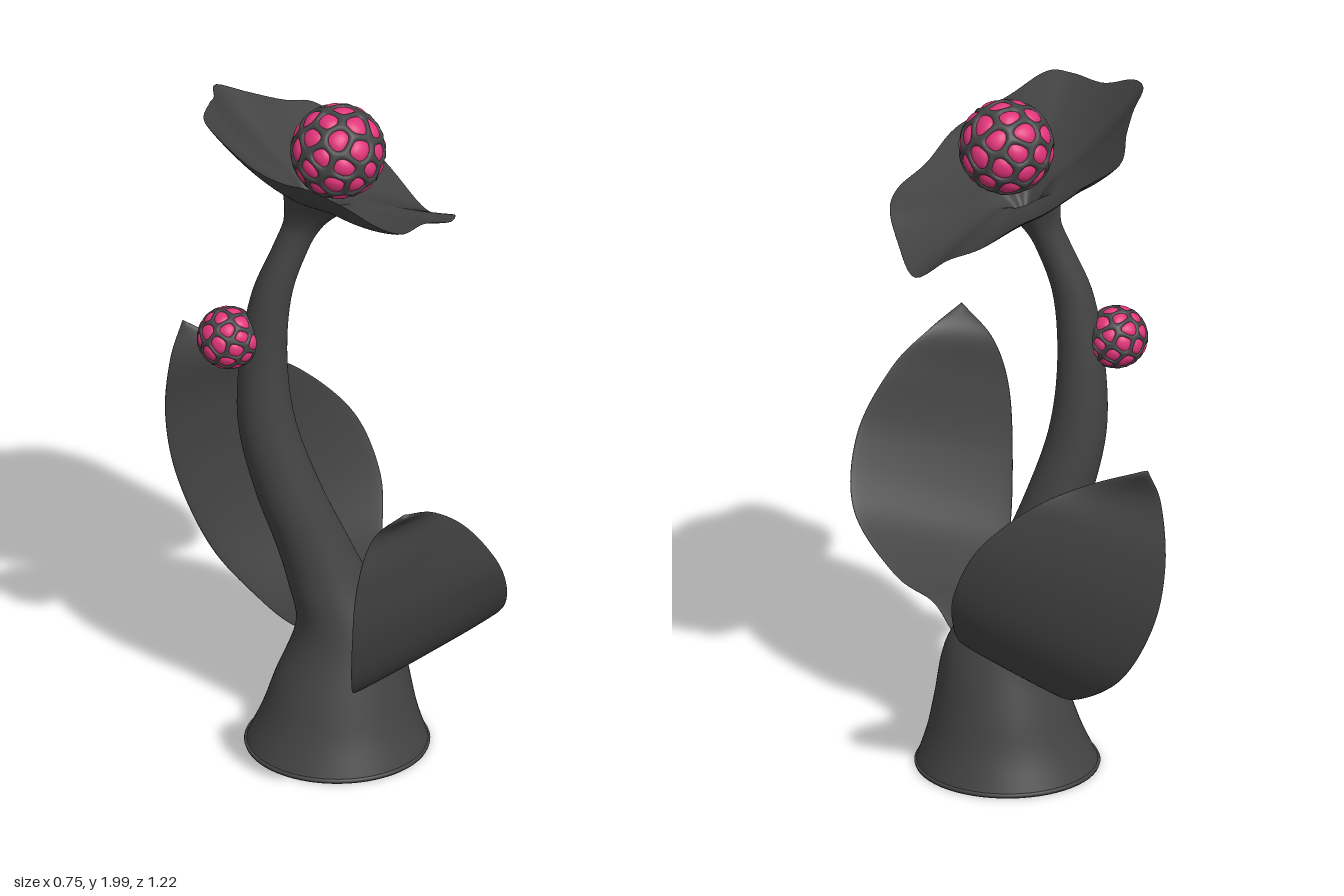
import * as THREE from 'three';
import { mergeVertices } from 'three/addons/utils/BufferGeometryUtils.js';

const dark = new THREE.MeshStandardMaterial({ color: 0x444444, side: THREE.DoubleSide });
const pink = new THREE.MeshStandardMaterial({ color: 0xe0357a });

const spline = (pts, closed = false, type = 'catmullrom') =>
  new THREE.CatmullRomCurve3(pts.map((p) => new THREE.Vector3(...p)), closed, type);

function named(name, geometry, material = dark) {
  const mesh = new THREE.Mesh(geometry, material);
  mesh.name = name;
  return mesh;
}

// Smooth grid surface, closed in u, from a rule (u, v) -> Vector3
function surface(nu, nv, rule) {
  const pos = [], index = [];
  for (let j = 0; j <= nv; j++)
    for (let i = 0; i <= nu; i++) pos.push(...rule((i % nu) / nu, j / nv).toArray());
  for (let j = 0; j < nv; j++)
    for (let i = 0; i < nu; i++) {
      const a = j * (nu + 1) + i, d = a + nu + 1;
      index.push(a, a + 1, d + 1, a, d + 1, d);
    }
  let g = new THREE.BufferGeometry();
  g.setAttribute('position', new THREE.Float32BufferAttribute(pos, 3));
  g.setIndex(index);
  g = mergeVertices(g, 1e-5);
  g.computeVertexNormals();
  return g;
}

// Wavy rim of the flower dish
const rim = spline([
  [0.313, 1.59, -0.115], [0.32, 1.645, -0.015], [0.287, 1.67, 0.065], [0.2, 1.71, 0.13],
  [0.1, 1.755, 0.255], [0.035, 1.79, 0.265], [-0.05, 1.85, 0.245], [-0.16, 1.92, 0.24],
  [-0.22, 1.925, 0.2], [-0.29, 1.935, 0.1], [-0.36, 1.985, 0], [-0.375, 1.995, -0.08],
  [-0.33, 1.98, -0.2], [-0.3, 1.95, -0.28], [-0.26, 1.915, -0.415], [-0.17, 1.87, -0.435],
  [-0.05, 1.81, -0.47], [0.03, 1.785, -0.49], [0.13, 1.71, -0.46], [0.21, 1.635, -0.36],
  [0.287, 1.545, -0.26],
], true, 'centripetal');
const hub = new THREE.Vector3(-0.045, 1.71, -0.1);

// Point of the dish at t = 0 (throat) to 1 (rim): a tilted trumpet whose waves fade inwards
function dishPoint(u, t, offset) {
  const p = rim.getPoint(1 - u).sub(hub), tilt = -0.6 * p.x;
  const throat = 0.1 * Math.max(0, 1 - t / 0.32) ** 2;
  const y = tilt * t ** 1.4 + (p.y - tilt) * t * t - throat + offset;
  return new THREE.Vector3(hub.x + p.x * t, hub.y + y, hub.z + p.z * t);
}

const makeDish = () => named('flowerDish', surface(120, 60, (u, v) =>
  // v runs under the dish to the rim and back over the top
  dishPoint(u, Math.sin(Math.PI * v), -0.008 * Math.cos(Math.PI * v))));

// Stem sections: x, y, z, radius
const STEM = [
  [0.005, 0, -0.095, 0.254], [0.012, 0.1, -0.095, 0.215], [0.02, 0.2, -0.097, 0.187],
  [0.035, 0.36, -0.1, 0.142], [-0.015, 0.5, -0.112, 0.114], [-0.06, 0.62, -0.12, 0.102],
  [-0.13, 0.8, -0.125, 0.092], [-0.185, 1, -0.13, 0.08], [-0.195, 1.2, -0.13, 0.066],
  [-0.175, 1.4, -0.12, 0.056], [-0.12, 1.55, -0.115, 0.05], [-0.085, 1.62, -0.113, 0.057],
  [-0.06, 1.67, -0.11, 0.078], [-0.045, 1.7, -0.105, 0.11],
];

// Hollow stem, open at the foot, whose top flares into the underside of the dish
function makeStem() {
  const stem = new THREE.Group();
  stem.name = 'stem';
  const axis = spline(STEM.map((s) => s.slice(0, 3)));
  const size = spline(STEM.map((s, i) => [s[3], 0, i * 0.1]));
  stem.add(named('stemBody', surface(60, 80, (u, v) => {
    const r = size.getPoint(v).x, a = u * Math.PI * 2;
    const ring = axis.getPoint(v).add(new THREE.Vector3(r * Math.cos(a), 0, -r * Math.sin(a)));
    return ring.lerp(dishPoint(u, 0.32, -0.006), THREE.MathUtils.smoothstep(v, 0.84, 1));
  })));
  const foot = named('stemFoot', new THREE.TorusGeometry(0.25, 0.006, 8, 60).rotateX(Math.PI / 2));
  foot.position.set(0.005, 0.006, -0.095);
  stem.add(foot);
  return stem;
}

// Thin twisted leaf stretched between two edge curves
function makeLeaf(name, edgeA, edgeB) {
  const A = spline(edgeA), B = spline(edgeB);
  const mid = (v) => A.getPoint(v).lerp(B.getPoint(v), 0.5);
  return named(name, surface(32, 60, (u, v) => {
    const w = Math.min(Math.max(v, 0.02), 0.96), th = u * Math.PI * 2;
    const across = B.getPoint(w).sub(A.getPoint(w));
    const along = mid(w + 0.02).sub(mid(w - 0.02));
    const normal = across.cross(along).normalize();
    return A.getPoint(v).lerp(B.getPoint(v), (1 - Math.cos(th)) / 2)
      .addScaledVector(normal, v < 1 ? 0.007 * Math.sin(th) : 0);
  }));
}

function sphere(detail, rule) {
  let g = new THREE.IcosahedronGeometry(1, detail);
  g.deleteAttribute('normal');
  g.deleteAttribute('uv');
  g = mergeVertices(g, 1e-4);
  const p = g.attributes.position, v = new THREE.Vector3();
  for (let i = 0; i < p.count; i++) {
    v.fromBufferAttribute(p, i).normalize();
    v.multiplyScalar(rule(v));
    p.setXYZ(i, v.x, v.y, v.z);
  }
  g.computeVertexNormals();
  return g;
}

// Berry: pink domed cells held in a raised dark net of cell borders
function makeBerry(name, cells, radius, seed, position) {
  const rand = () => (seed = (seed * 16807) % 2147483647) / 2147483647 - 0.5;
  const sites = Array.from({ length: cells }, (_, i) => {
    const y = 1 - (2 * i + 1) / cells, r = Math.sqrt(1 - y * y), a = i * 2.39996;
    return new THREE.Vector3(r * Math.cos(a) + rand() * 0.22, y + rand() * 0.22, r * Math.sin(a) + rand() * 0.22).normalize();
  });
  // Near zero on a border between cells, growing towards the cell centre, rounded in the corners
  const border = (v) => {
    const d = sites.map((s) => v.angleTo(s)).sort((a, b) => a - b);
    const sum = d.slice(1, 5).reduce((t, x) => t + Math.exp((d[0] - x) / 0.07), 0);
    return Math.max(0, -0.07 * Math.log(sum));
  };
  const net = (e) => 0.88 + 0.115 * Math.sqrt(Math.max(0, 1 - (e / 0.16) ** 2));
  const dome = (e) => 0.91 + 0.085 * Math.sin(Math.min(1, e / 0.4) * Math.PI / 2);
  const berry = new THREE.Group();
  berry.name = name;
  berry.add(
    named('berryNet', sphere(36, (v) => radius * net(border(v)))),
    named('berryCells', sphere(28, (v) => radius * dome(border(v))), pink),
  );
  berry.position.set(...position);
  return berry;
}

export function createModel() {
  const model = new THREE.Group();
  model.name = 'plant';
  model.add(makeStem(), makeDish());
  model.add(makeLeaf('frontLeaf',
    [[0.04, 0.37, 0], [0.02, 0.372, 0.14], [-0.03, 0.38, 0.3], [-0.08, 0.45, 0.44],
      [-0.1, 0.63, 0.525], [-0.095, 0.83, 0.56], [-0.05, 0.98, 0.56], [0.03, 1.07, 0.61]],
    [[0.15, 0.37, -0.02], [0.19, 0.42, 0.07], [0.28, 0.465, 0.16], [0.37, 0.59, 0.33],
      [0.345, 0.77, 0.44], [0.24, 0.94, 0.495], [0.13, 1.03, 0.535], [0.03, 1.07, 0.61]]));
  model.add(makeLeaf('backLeaf',
    [[0.1, 0.4, -0.14], [0.15, 0.42, -0.22], [0.19, 0.52, -0.335], [0.2, 0.65, -0.41],
      [0.14, 0.81, -0.47], [0, 0.94, -0.51], [-0.15, 1.01, -0.53], [-0.31, 1.08, -0.61]],
    [[-0.02, 0.3, -0.15], [-0.08, 0.285, -0.25], [-0.14, 0.3, -0.38], [-0.25, 0.41, -0.51],
      [-0.33, 0.6, -0.585], [-0.36, 0.79, -0.605], [-0.35, 0.97, -0.59], [-0.31, 1.08, -0.61]]));
  model.add(makeBerry('flowerBerry', 44, 0.133, 7, [0.007, 1.845, -0.09]));
  model.add(makeBerry('stemBerry', 38, 0.088, 23, [-0.292, 1.275, -0.135]));
  return model;
}
